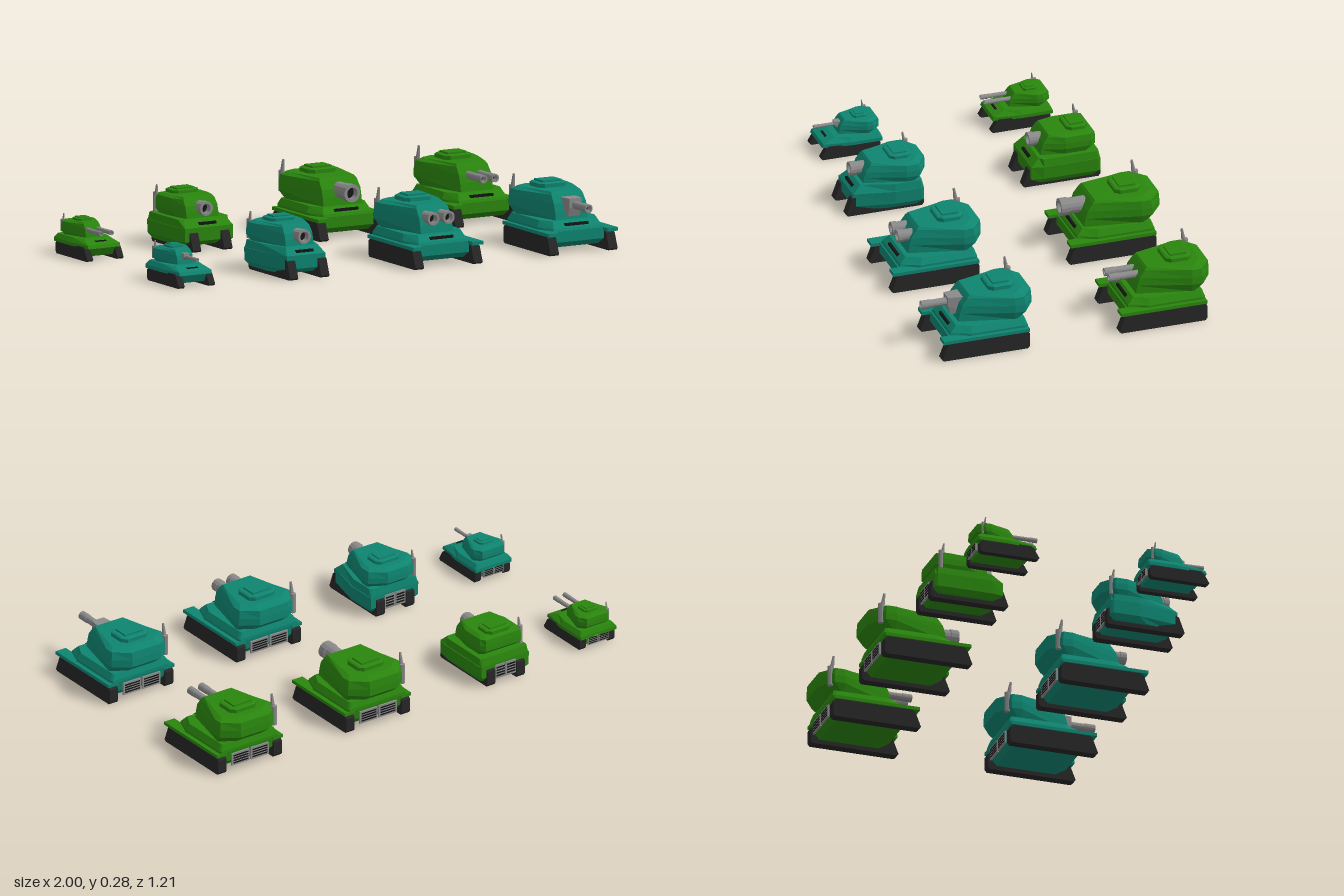
import * as THREE from 'three';

const paint = (color) => new THREE.MeshStandardMaterial({ color, flatShading: true, side: THREE.DoubleSide });
const TEAL = paint(0x0e8570), GREEN = paint(0x2a860e), RUBBER = paint(0x262626), STEEL = paint(0x8a8a8a), DARK = paint(0x141414);

function add(parent, name, geometry, material, x = 0, y = 0, z = 0) {
  const mesh = new THREE.Mesh(geometry, material);
  mesh.name = name;
  mesh.position.set(x, y, z);
  parent.add(mesh);
  return mesh;
}

const box = (w, h, d) => new THREE.BoxGeometry(w, h, d);

// Mirrored eight-corner plan at height y: back edge, shoulder, end of the straight side, front edge
function plan(y, back, shoulder, side, front, bw, sw, fw) {
  const half = [[bw, back], [sw, shoulder], [sw, side], [fw, front]];
  return [...half, ...half.map(([x, z]) => [-x, z]).reverse()].map(([x, z]) => [x, y, z]);
}

// Closed solid through a stack of plans
function loft(rings) {
  const n = rings[0].length, pos = [];
  const tri = (a, b, c) => pos.push(...a, ...b, ...c);
  for (let k = 0; k < rings.length - 1; k++) {
    for (let i = 0; i < n; i++) {
      const j = (i + 1) % n, lo = rings[k], hi = rings[k + 1];
      tri(lo[i], hi[i], hi[j]);
      tri(lo[i], hi[j], lo[j]);
    }
  }
  const bottom = rings[0], top = rings[rings.length - 1];
  for (let i = 1; i < n - 1; i++) {
    tri(bottom[0], bottom[i], bottom[i + 1]);
    tri(top[0], top[i + 1], top[i]);
  }
  const g = new THREE.BufferGeometry();
  g.setAttribute('position', new THREE.Float32BufferAttribute(pos, 3));
  g.computeVertexNormals();
  return g;
}

// Track block with a raked nose, extruded across its width
function trackGeometry(back, front, h, w) {
  const pts = [[back, 0.01], [back + 0.008, 0], [front - 0.008, 0], [front, 0.007],
    [front - 0.024, h - 0.008], [front - 0.036, h], [back + 0.014, h], [back, h - 0.012]];
  const shape = new THREE.Shape(pts.map(([z, y]) => new THREE.Vector2(z, y)));
  return new THREE.ExtrudeGeometry(shape, { depth: w, bevelEnabled: false }).translate(0, 0, -w / 2).rotateY(-Math.PI / 2);
}

// Hollow gun barrel from z0 to z1 with a thicker muzzle
function addBarrel(parent, x, y, z0, z1, r) {
  const L = z1 - z0, bore = r * 0.65, depth = Math.min(0.03, L / 2);
  const profile = [[r * 0.9, 0], [r * 0.9, L * 0.75], [r, L * 0.76], [r, L], [bore, L], [bore, L - depth]];
  const g = new THREE.LatheGeometry(profile.map(([a, b]) => new THREE.Vector2(a, b)), 14).rotateX(Math.PI / 2);
  add(parent, 'barrel', g, STEEL, x, y, z0);
  add(parent, 'bore', new THREE.CircleGeometry(bore, 14), DARK, x, y, z1 - depth);
}

// Hulls
function bigHull(t, m) {
  for (const s of [-1, 1]) add(t, 'fender', box(0.05, 0.014, 0.366), m, s * 0.138, 0.084, -0.002);
  add(t, 'lowerHull', loft([
    plan(0.018, -0.15, -0.14, 0.06, 0.1, 0.117, 0.117, 0.117),
    plan(0.045, -0.175, -0.16, 0.06, 0.145, 0.117, 0.117, 0.117),
    plan(0.09, -0.183, -0.16, 0.06, 0.145, 0.117, 0.117, 0.117)]), m);
  add(t, 'upperHull', loft([
    plan(0.088, -0.183, -0.17, 0.06, 0.14, 0.14, 0.145, 0.115),
    plan(0.1, -0.183, -0.17, 0.06, 0.135, 0.14, 0.145, 0.112),
    plan(0.126, -0.175, -0.165, 0.05, 0.11, 0.125, 0.13, 0.1)]), m);
  add(t, 'visionSlot', box(0.11, 0.014, 0.01), DARK, 0, 0.11, 0.124);
}

function mediumHull(t, m, square) {
  const fw = square ? 0.112 : 0.09, b = -0.152, f = 0.14, side = square ? 0.09 : -0.03;
  add(t, 'lowerHull', loft([
    plan(0.018, b + 0.02, b + 0.03, 0, 0.1, 0.1, 0.105, fw - 0.01),
    plan(0.04, b, b + 0.01, side, f, 0.115, 0.12, fw),
    plan(0.095, b, b + 0.01, side, f, 0.118, 0.123, fw)]), m);
  add(t, 'upperHull', loft([
    plan(0.094, b, b + 0.01, side, f, 0.115, 0.12, fw),
    plan(0.126, b + 0.005, b + 0.015, side, f - 0.035, 0.1, 0.115, fw - 0.015)]), m);
  add(t, 'visionSlot', box(0.08, 0.012, 0.01), DARK, 0, 0.108, f - 0.015);
}

function smallHull(t, m) {
  add(t, 'lowerHull', loft([
    plan(0.015, -0.115, -0.11, 0, 0.085, 0.058, 0.058, 0.058),
    plan(0.056, -0.13, -0.125, 0.02, 0.11, 0.058, 0.058, 0.058)]), m);
  add(t, 'upperHull', loft([
    plan(0.05, -0.135, -0.13, 0, 0.118, 0.088, 0.09, 0.075),
    plan(0.064, -0.135, -0.13, 0, 0.112, 0.088, 0.09, 0.075),
    plan(0.082, -0.128, -0.12, 0, 0.06, 0.07, 0.077, 0.06)]), m);
  add(t, 'visionSlot', box(0.05, 0.008, 0.008), DARK, 0, 0.072, 0.086);
}

// Per-size dimensions; turret = [y0, y1, back, shoulder, side, front, bw, sw, fw]
const SIZES = {
  big: { hull: bigHull, track: [-0.187, 0.187, 0.077, 0.04, 0.137], rear: [-0.184, 0.095, 0.025, 0.078],
    turret: [0.125, 0.235, -0.222, -0.175, -0.13, 0.09, 0.07, 0.14, 0.075],
    cupola: [-0.155, -0.045, 0.065, 0.026], antenna: [-0.117, 0.15, 0.282, 0.012] },
  medium: { hull: mediumHull, track: [-0.16, 0.17, 0.08, 0.038, 0.073], rear: [-0.153, 0.052, 0.025, 0.085],
    turret: [0.122, 0.208, -0.178, -0.135, -0.08, 0.09, 0.05, 0.118, 0.065],
    cupola: [-0.12, -0.03, 0.06, 0.02], antenna: [-0.098, 0.13, 0.24, 0.009] },
  small: { hull: smallHull, track: [-0.126, 0.126, 0.055, 0.028, 0.071], rear: [-0.131, 0.052, 0.018, 0.055],
    turret: [0.08, 0.14, -0.13, -0.1, -0.075, 0.035, 0.053, 0.075, 0.037],
    cupola: [-0.09, -0.03, 0.033, 0.013], antenna: [-0.064, 0.09, 0.165, 0.006] },
};

function tank({ name, size, material: m, x, z, guns, mantlet, turret = {}, square }) {
  const t = new THREE.Group(), S = SIZES[size];
  t.name = name;
  t.position.set(x, 0, z);

  // Tracks and hull
  const [tb, tf, th, tw, tx] = S.track;
  for (const s of [-1, 1]) add(t, 'track', trackGeometry(tb, tf, th, tw), RUBBER, s * tx);
  S.hull(t, m, square);

  // Rear grilles
  const [rz, rw, ry0, ry1] = S.rear, rh = ry1 - ry0;
  for (const s of [-1, 1]) {
    add(t, 'rearGrille', box(rw * 0.92, rh, 0.008), STEEL, s * rw / 2, (ry0 + ry1) / 2, rz);
    for (let i = 0; i < 4; i++) {
      add(t, 'grilleSlot', box(rw * 0.78, rh * 0.11, 0.01), DARK, s * rw / 2, ry0 + rh * (0.2 + i * 0.2), rz);
    }
  }

  // Turret with undercut rear and sloping roof edges
  const [y0, y1, b, sh, sd, f, bw, sw, fw] = Object.assign([...S.turret], turret);
  const h = y1 - y0;
  add(t, 'turret', loft([
    plan(y0, b + h * 0.4, sh + h * 0.3, sd, f, bw * 0.9, sw * 0.9, fw),
    plan(y0 + h * 0.32, b, sh, sd, f - h * 0.06, bw, sw, fw),
    plan(y0 + h * 0.6, b, sh, sd, f - h * 0.14, bw, sw, fw),
    plan(y0 + h * 0.9, b + h * 0.03, sh + h * 0.05, sd, f - h * 0.36, bw, sw * 0.96, fw * 0.97),
    plan(y1, b + h * 0.35, sh + h * 0.3, sd, f - h * 0.45, bw * 0.85, sw * 0.8, fw * 0.9)]), m);

  // Cupola and hatch
  const [c0, c1, cw, ch] = S.cupola, cut = cw * 0.3;
  const ring = (y, k) => plan(y, c0 + k, c0 + cut + k, c1 - cut, c1 - k, cw - cut - k, cw - k, cw - cut - k);
  add(t, 'cupola', loft([ring(y1 - 0.004, 0), ring(y1 + ch * 0.6, 0), ring(y1 + ch * 0.75, cw * 0.1)]), m);
  add(t, 'hatch', box(cw * 1.35, ch * 0.5, (c1 - c0) * 0.62), m, 0, y1 + ch * 0.78, (c0 + c1) / 2);

  // Antenna: socket on the turret's rear corner, tapering rod above
  const [ax, ay0, ay1, ar] = S.antenna, az = (b + sh) / 2 + ar;
  const rodH = ay1 - y1 + h * 0.15;
  add(t, 'antennaSocket', new THREE.CylinderGeometry(ar, ar, y1 - ay0, 8), STEEL, ax, (y1 + ay0) / 2, az);
  const rod = add(t, 'antenna', new THREE.CylinderGeometry(ar * 0.4, ar * 0.85, rodH, 8), STEEL, ax, ay1 - rodH / 2, az + 0.01);
  rod.rotation.x = 0.15;

  // Guns
  if (mantlet) {
    const [w, my0, my1, mz0, mz1] = mantlet;
    add(t, 'mantlet', loft([
      plan(my0, mz0, mz0, mz0, mz1 - 0.012, w, w, w * 0.7),
      plan((my0 + my1) / 2, mz0, mz0, mz0, mz1, w, w, w * 0.75),
      plan(my1, mz0, mz0, mz0, mz1, w, w, w * 0.75)]), STEEL);
  }
  for (const [gx, gy, z0, z1, r] of guns) addBarrel(t, gx, gy, z0, z1, r);
  return t;
}

const pair = (dx, ...rest) => [[-dx, ...rest], [dx, ...rest]];

export function createModel() {
  const model = new THREE.Group();
  model.name = 'tankSet';
  const tanks = [
    { name: 'tealSmallTank', size: 'small', material: TEAL, x: -0.91, z: 0.33,
      guns: [[0, 0.112, 0, 0.13, 0.008]], mantlet: [0.016, 0.098, 0.126, 0, 0.045] },
    { name: 'tealMediumTank', size: 'medium', material: TEAL, x: -0.42, z: 0.35,
      guns: [[0, 0.166, 0.03, 0.128, 0.03]] },
    { name: 'tealTwinCannonTank', size: 'big', material: TEAL, x: 0.205, z: 0.378,
      guns: pair(0.036, 0.19, 0.02, 0.125, 0.027) },
    { name: 'tealLongGunTank', size: 'big', material: TEAL, x: 0.835, z: 0.38,
      guns: [[0, 0.187, 0.05, 0.225, 0.018]], mantlet: [0.038, 0.14, 0.214, 0.04, 0.118] },
    { name: 'greenSmallTank', size: 'small', material: GREEN, x: -0.91, z: -0.395,
      guns: pair(0.024, 0.112, 0, 0.135, 0.01) },
    { name: 'greenMediumTank', size: 'medium', material: GREEN, x: -0.428, z: -0.405, square: true,
      turret: { 2: -0.14, 3: -0.12, 4: -0.01, 6: 0.085, 7: 0.102, 8: 0.075 },
      guns: [[0, 0.166, 0.03, 0.12, 0.03]] },
    { name: 'greenHeavyCannonTank', size: 'big', material: GREEN, x: 0.205, z: -0.377,
      turret: { 2: -0.228, 5: 0.1, 8: 0.09 },
      guns: [[0, 0.184, 0.03, 0.175, 0.037]] },
    { name: 'greenTwinGunTank', size: 'big', material: GREEN, x: 0.837, z: -0.375,
      guns: pair(0.027, 0.19, 0.02, 0.19, 0.017) },
  ];
  for (const spec of tanks) model.add(tank(spec));
  return model;
}
